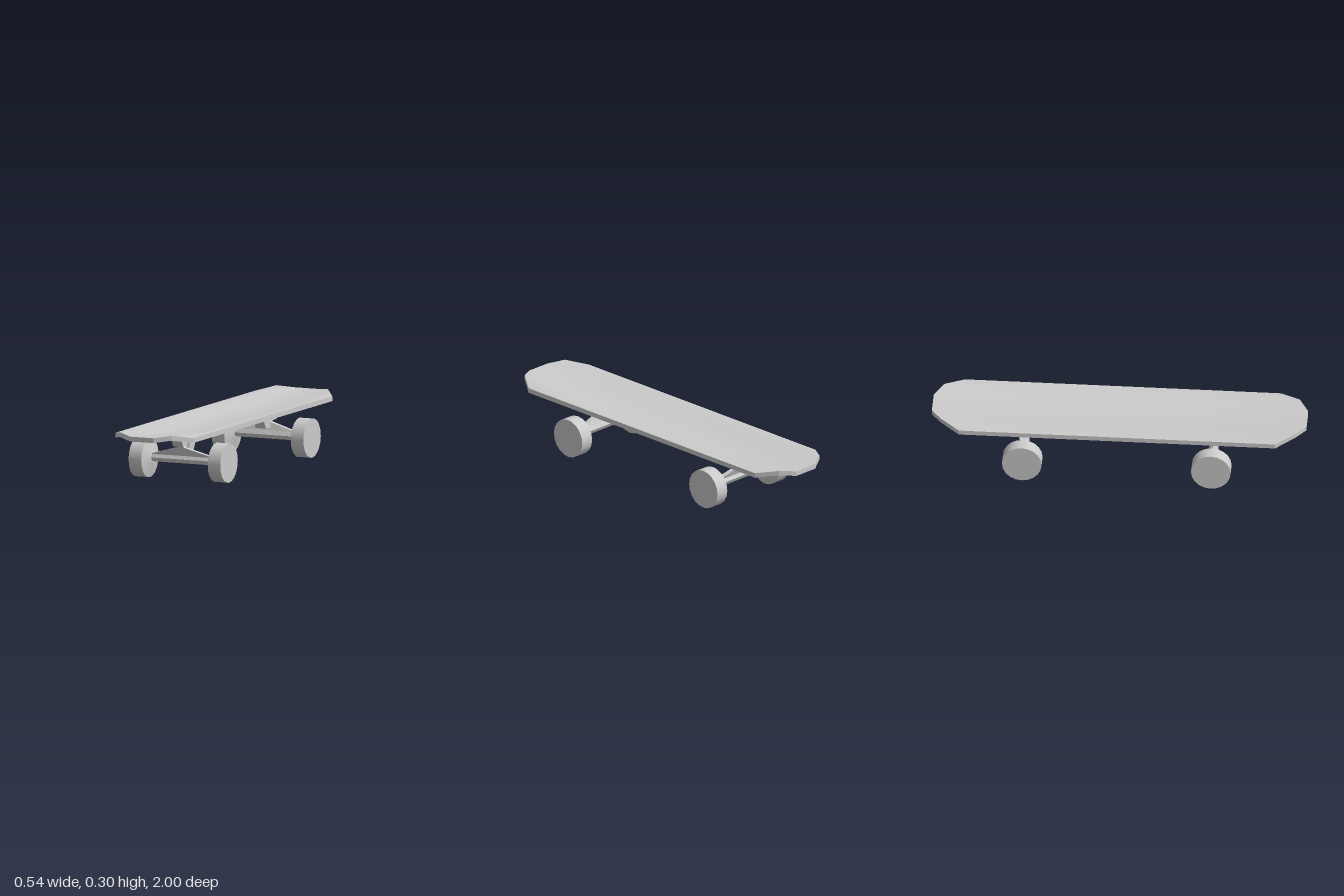
import * as THREE from 'three';

const mat = new THREE.MeshStandardMaterial({ color: 0xcccccc });
const flat = new THREE.MeshStandardMaterial({ color: 0xcccccc, flatShading: true });

function add(parent, name, geometry, material = flat) {
  const mesh = new THREE.Mesh(geometry, material);
  mesh.name = name;
  parent.add(mesh);
  return mesh;
}

// Skin over a grid of points, rows[i][j]
function skin(rows, flip) {
  const n = rows[0].length, index = [];
  for (let i = 0; i < rows.length - 1; i++) {
    for (let j = 0; j < n - 1; j++) {
      const a = i * n + j, b = a + 1, c = a + n, d = c + 1;
      index.push(...(flip ? [a, c, b, b, c, d] : [a, b, c, b, d, c]));
    }
  }
  const g = new THREE.BufferGeometry();
  g.setAttribute('position', new THREE.Float32BufferAttribute(rows.flat(2), 3));
  g.setIndex(index);
  g.computeVertexNormals();
  return g;
}

// Outline extruded to a centred thickness
function slab(points, depth) {
  const shape = new THREE.Shape(points.map(([x, y]) => new THREE.Vector2(x, y)));
  return new THREE.ExtrudeGeometry(shape, { depth, bevelEnabled: false }).translate(0, 0, -depth / 2);
}

// Side profile given as [z, y], extruded across x
function sideSlab(points, width) {
  return slab(points.map(([z, y]) => [-z, y]), width).rotateY(Math.PI / 2);
}

function createDeck() {
  const deck = new THREE.Group();
  deck.name = 'deck';
  const thick = 0.026;
  // Lengthwise columns: x, end z, height in the middle, height at the end
  const half = [[0.07, 1, 0.263, 0.292], [0.153, 0.95, 0.281, 0.304], [0.23, 0.845, 0.283, 0.283]];
  const columns = [...half.map(([x, ...r]) => [-x, ...r]).reverse(), ...half];
  const grid = (drop) => columns.map(([x, end, mid, tip]) =>
    [[-end, tip], [-0.57, mid], [0, mid], [0.57, mid], [end, tip]].map(([z, y]) => [x - 0.004, y - drop, z]));
  const top = grid(0), bottom = grid(thick);
  add(deck, 'deckTop', skin(top, false), mat);
  add(deck, 'deckBottom', skin(bottom, true), mat);

  // Rim around the edge, joining top and bottom
  const loop = (g) => [
    ...g[0],
    ...g.slice(1, -1).map((c) => c[4]),
    ...[...g[5]].reverse(),
    ...g.slice(1, -1).map((c) => c[0]).reverse(),
    g[0][0],
  ];
  add(deck, 'deckRim', skin([loop(top), loop(bottom)], true));
  return deck;
}

function createTruck() {
  const truck = new THREE.Group();
  truck.name = 'truck';

  // Base plate bolted under the deck
  add(truck, 'basePlate', sideSlab([[-0.115, 0.24], [0.097, 0.24], [0.092, 0.224], [-0.107, 0.224]], 0.17));

  // Two slanted posts, leaving a gap between them
  add(truck, 'pivotPost', sideSlab([[-0.107, 0.226], [-0.035, 0.226], [-0.005, 0.15], [-0.065, 0.15]], 0.06));
  add(truck, 'kingpinPost', sideSlab([[0.025, 0.226], [0.085, 0.226], [0.06, 0.185], [0.01, 0.185]], 0.06));
  const nut = add(truck, 'kingpinNut', new THREE.CylinderGeometry(0.016, 0.016, 0.05, 6));
  nut.position.set(0, 0.165, 0.005);

  // Wedge-shaped hanger on top of the axle, leaning outwards
  const hanger = slab([[-0.178, 0.12], [0.178, 0.12], [0.178, 0.133], [0.025, 0.175],
    [0.012, 0.186], [-0.012, 0.186], [-0.025, 0.175], [-0.178, 0.133]], 0.026);
  const lean = new THREE.Matrix4().makeShear(0, 0, 0, 0.4, 0, 0);
  add(truck, 'hanger', hanger.translate(0, -0.125, 0).applyMatrix4(lean).translate(0, 0.125, 0));
  const axle = add(truck, 'axle', new THREE.CylinderGeometry(0.025, 0.025, 0.37, 6));
  axle.rotation.z = Math.PI / 2;
  axle.position.y = 0.111;

  // Wheels with a cone on the inner face
  for (const side of [-1, 1]) {
    const wheel = new THREE.Group();
    wheel.name = side > 0 ? 'leftWheel' : 'rightWheel';
    const tread = add(wheel, 'tread', new THREE.CylinderGeometry(0.106, 0.106, 0.075, 20), mat);
    tread.position.y = -0.2345;
    const cone = add(wheel, 'innerCone', new THREE.CylinderGeometry(0.022, 0.106, 0.02, 20), mat);
    cone.position.y = -0.187;
    wheel.rotation.z = side * Math.PI / 2;
    wheel.position.y = 0.106;
    truck.add(wheel);
  }
  return truck;
}

export function createModel() {
  const model = new THREE.Group();
  model.name = 'skateboard';
  model.add(createDeck());
  // Front and back trucks face away from each other
  for (const end of [1, -1]) {
    const truck = createTruck();
    truck.name = end > 0 ? 'frontTruck' : 'backTruck';
    truck.position.z = end * 0.505;
    if (end < 0) truck.rotation.y = Math.PI;
    model.add(truck);
  }
  return model;
}
